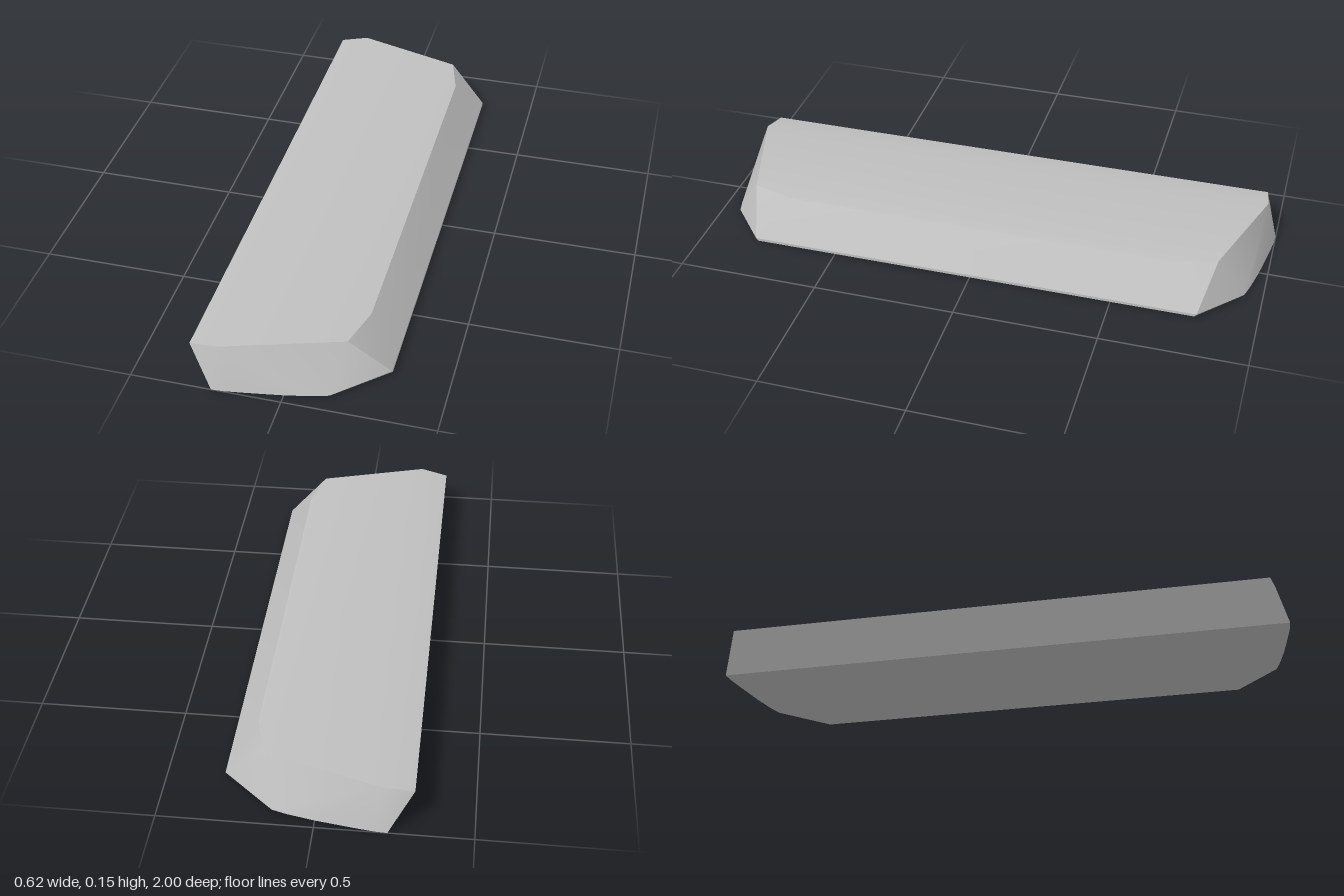
import * as THREE from 'three';
import { ConvexGeometry } from 'three/addons/geometries/ConvexGeometry.js';
import { toCreasedNormals } from 'three/addons/utils/BufferGeometryUtils.js';

export function createModel() {
  const group = new THREE.Group();
  group.name = 'bevelledBar';
  const grey = new THREE.MeshStandardMaterial({ color: 0xc0c0c0 });
  grey.name = 'lightGrey';

  // Corners of one end; the other end mirrors them in z
  const endCorners = [
    // upper rim, from the overhanging left edge to the chamfered right corner
    [-0.31, 0.134, 0.948], [-0.21, 0.152, 0.96], [0.175, 0.153, 0.84], [0.215, 0.149, 0.69],
    // lower rim, gently curved
    [-0.23, 0, 1], [-0.19, 0, 0.998], [-0.12, 0, 0.988], [0.0, 0, 0.969],
    [0.09, 0, 0.95], [0.14, 0.001, 0.936],
    // thin lip along the right side
    [0.31, 0.018, 0.798], [0.31, 0.008, 0.79],
  ];
  const points = [];
  for (const side of [1, -1]) {
    for (const [x, y, z] of endCorners) points.push(new THREE.Vector3(x, y, z * side));
  }

  // Solid body: sharp main edges, softly blended shallow facets
  const body = new THREE.Mesh(toCreasedNormals(new ConvexGeometry(points), 0.5), grey);
  body.name = 'barBody';
  group.add(body);
  return group;
}
